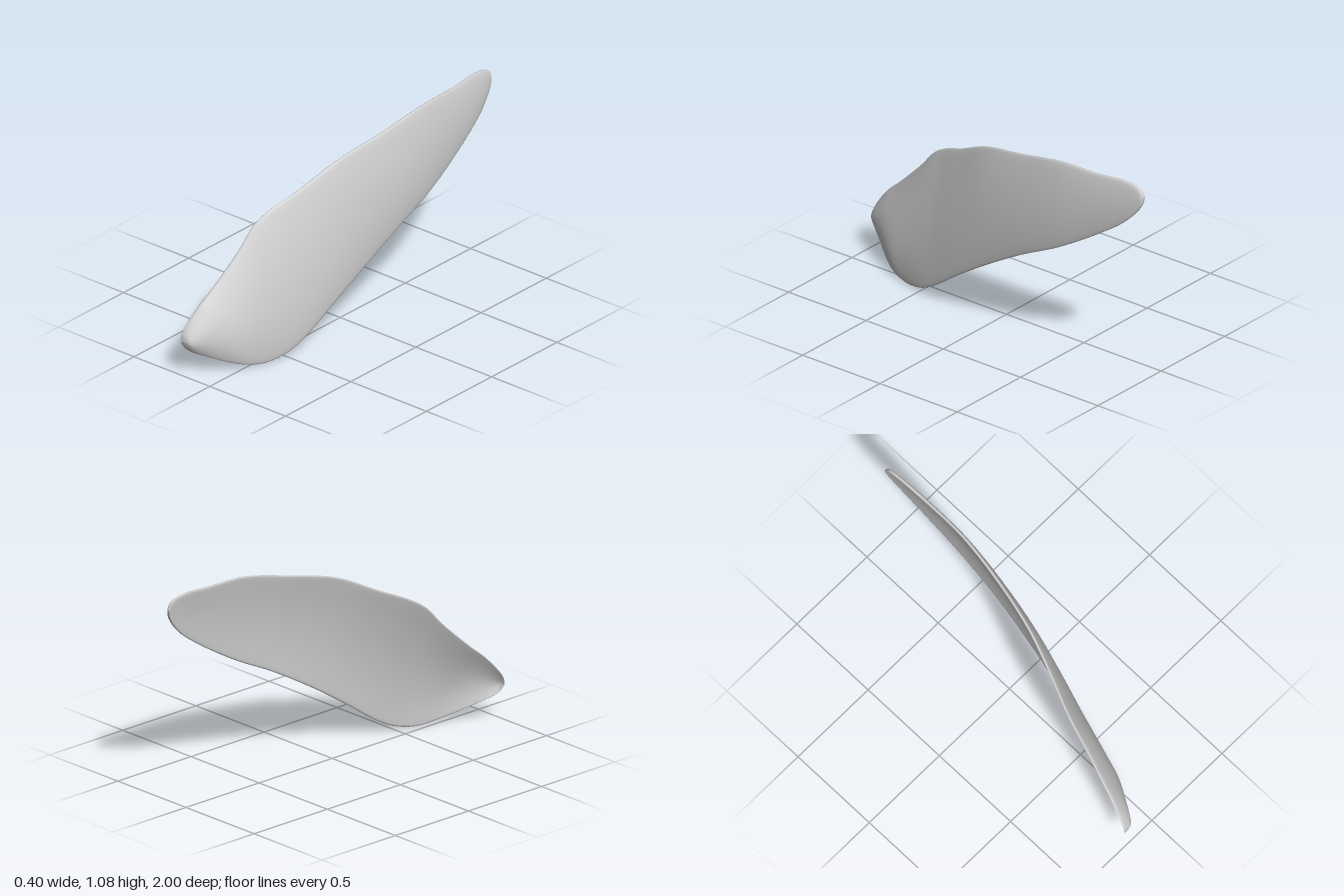
import * as THREE from 'three';

// matched points along both rims, from the low front tip to the high rear tip
const upperRim = [
  [-0.192, 0.19, 1], [-0.188, 0.235, 0.99], [-0.165, 0.35, 0.9], [-0.143, 0.44, 0.8],
  [-0.113, 0.59, 0.645], [-0.1, 0.695, 0.55], [-0.075, 0.755, 0.46], [-0.015, 0.83, 0.3],
  [0.053, 0.937, 0.08], [0.11, 1.005, -0.2], [0.14, 1.062, -0.47], [0.143, 1.07, -0.7],
  [0.135, 1.08, -0.89], [0.133, 1.06, -0.975], [0.13, 1.022, -1],
];
const lowerRim = [
  [-0.192, 0.19, 1], [-0.165, 0.145, 0.98], [-0.09, 0.085, 0.88], [0, 0.025, 0.74],
  [0.04, 0.002, 0.62], [0.075, 0.022, 0.5], [0.098, 0.07, 0.4], [0.133, 0.21, 0.2],
  [0.157, 0.34, 0], [0.178, 0.485, -0.25], [0.185, 0.6, -0.48], [0.172, 0.755, -0.74],
  [0.155, 0.87, -0.9], [0.138, 0.97, -0.985], [0.13, 1.022, -1],
];

const curve = (pts) => new THREE.CatmullRomCurve3(pts.map((p) => new THREE.Vector3(...p)));

// thin curved shell: each cross-section is a bowed, round-edged strip between the rims
function shellGeometry(stations, sides) {
  const upper = curve(upperRim), lower = curve(lowerRim);
  const positions = [], index = [];
  for (let i = 0; i <= stations; i++) {
    const u = i / stations;
    const top = upper.getPoint(u), bottom = lower.getPoint(u);
    const half = 0.013 * Math.sqrt(Math.max(0, 1 - Math.abs(2 * u - 1) ** 12));
    // the bow is deepest near the front and flattens towards the rear
    const bow = (0.072 - 0.07 * u) * Math.max(0, Math.sin(Math.PI * u)) ** 0.5;
    for (let j = 0; j < sides; j++) {
      const angle = (j / sides) * Math.PI * 2;
      const t = (1 - Math.cos(angle)) / 2;
      const s = Math.sin(angle);
      const p = bottom.clone().lerp(top, t);
      p.x += bow * 4 * t * (1 - t) + half * Math.sign(s) * Math.abs(s) ** 0.4;
      positions.push(p.x, p.y, p.z);
      if (i < stations) {
        const k = (j + 1) % sides;
        const a = i * sides + j, b = i * sides + k;
        const c = a + sides, d = b + sides;
        index.push(a, c, b, b, c, d);
      }
    }
  }
  const geometry = new THREE.BufferGeometry();
  geometry.setAttribute('position', new THREE.Float32BufferAttribute(positions, 3));
  geometry.setIndex(index);
  geometry.computeVertexNormals();
  return geometry;
}

export function createModel() {
  const group = new THREE.Group();
  group.name = 'curvedShell';
  const grey = new THREE.MeshStandardMaterial({ color: 0xcccccc });
  grey.name = 'light grey';
  const shell = new THREE.Mesh(shellGeometry(98, 48), grey);
  shell.name = 'shell';
  group.add(shell);
  return group;
}
